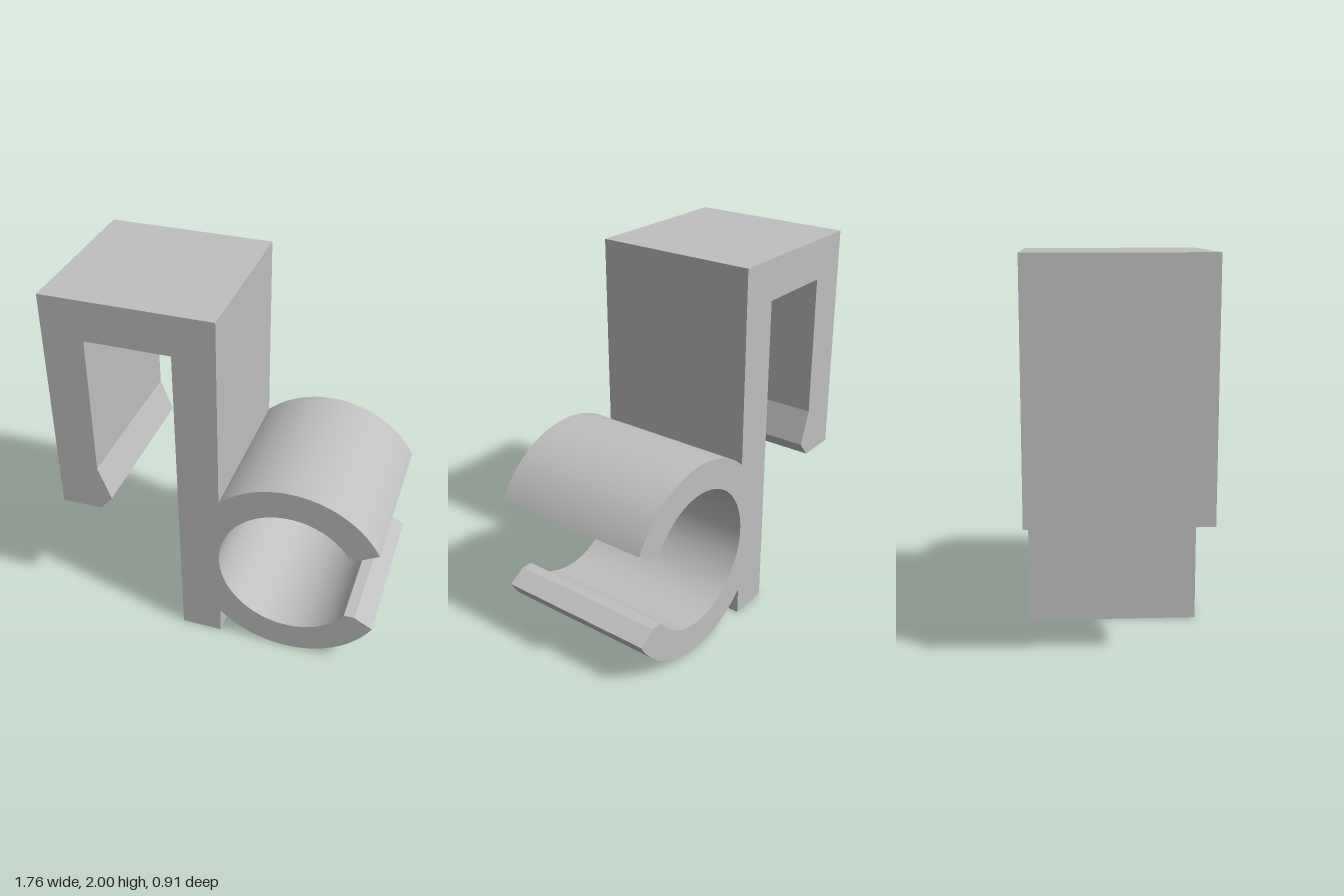
import * as THREE from 'three';
import { toCreasedNormals } from 'three/addons/utils/BufferGeometryUtils.js';

const DEPTH = 0.906;

export function createModel() {
  const group = new THREE.Group();
  group.name = 'hookClip';
  const grey = new THREE.MeshStandardMaterial({ color: 0xbfbfbf });
  grey.name = 'plain grey';

  // Ring of the open clip
  const cx = 0.4, cy = 0.546, outer = 0.546, inner = 0.383;
  const root = Math.PI - Math.acos(0.38 / outer); // half angle hidden by the stem
  const root2 = Math.PI - (Math.PI - root);
  const tip = 0.503, lip = 0.577;

  const s = new THREE.Shape();
  s.moveTo(-0.885, 2);
  s.lineTo(0.02, 2);
  // Upper jaw, bore and lower jaw
  s.absarc(cx, cy, outer, root2, tip, true);
  s.lineTo(0.78, 0.755);
  s.absarc(cx, cy, inner, lip, Math.PI * 2 - lip, false);
  s.lineTo(0.78, 0.337);
  s.absarc(cx, cy, outer, -tip, -root2, true);
  // Stem, slot and barbed hook arm
  [[0.02, 0], [-0.205, 0], [-0.205, 1.78], [-0.66, 1.78], [-0.66, 1.0],
    [-0.59, 0.815], [-0.66, 0.73], [-0.885, 0.73]].forEach(([x, y]) => s.lineTo(x, y));
  s.closePath();

  const geo = new THREE.ExtrudeGeometry(s, { depth: DEPTH, bevelEnabled: false, curveSegments: 64 });
  geo.translate(0, 0, -DEPTH / 2);
  const body = new THREE.Mesh(toCreasedNormals(geo, 0.35), grey);
  body.name = 'hookAndPipeClip';
  group.add(body);
  return group;
}
